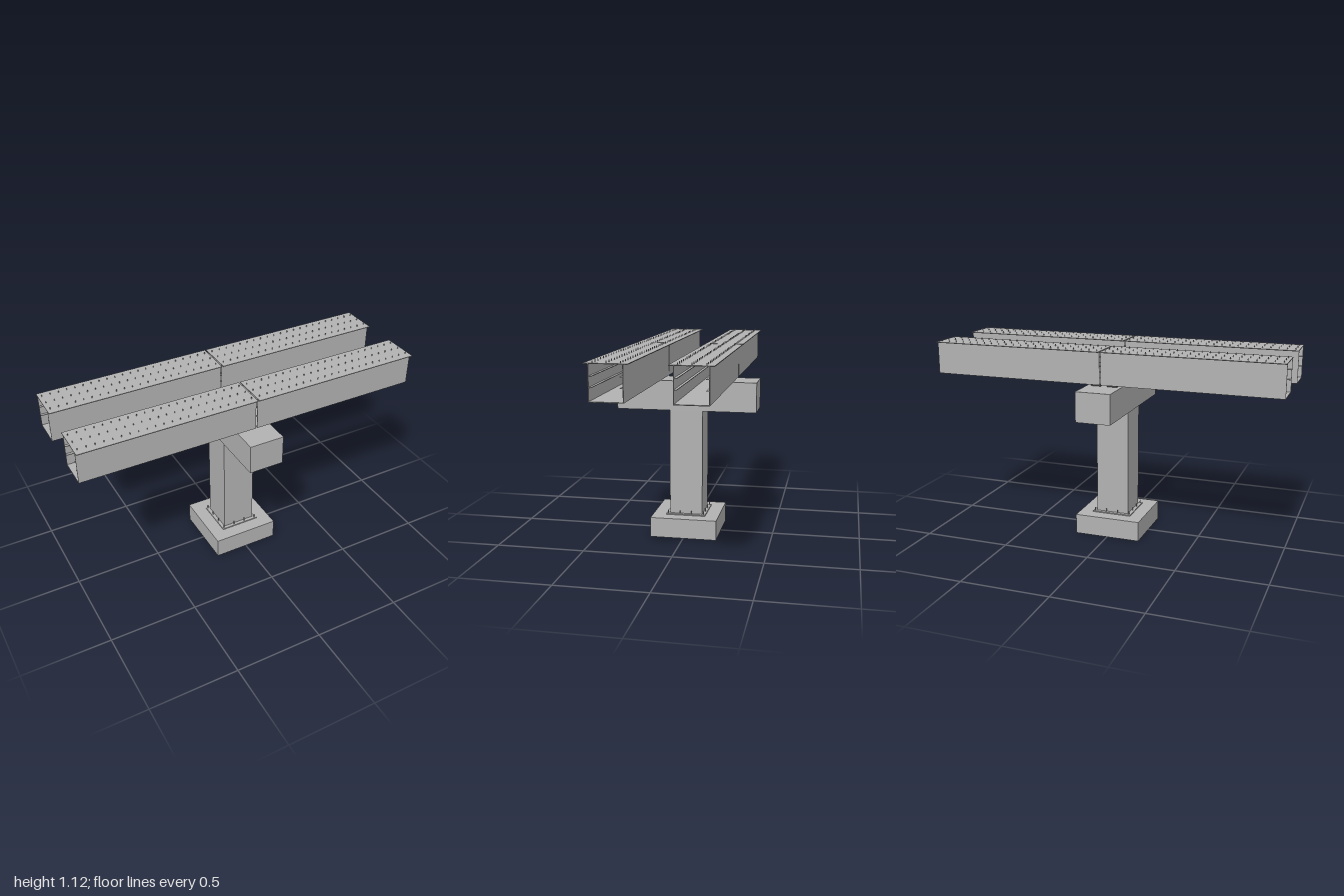
import * as THREE from 'three';
import { mergeGeometries } from 'three/addons/utils/BufferGeometryUtils.js';

const concrete = new THREE.MeshStandardMaterial({ color: 0xb2b2b2 });
concrete.name = 'concrete and steel grey';
const rubber = new THREE.MeshStandardMaterial({ color: 0x404040 });
rubber.name = 'bearing dark grey';

// Box given by its extents: [x0, x1], [y0, y1], [z0, z1]
function box(name, [x0, x1], [y0, y1], [z0, z1], material = concrete) {
  const mesh = new THREE.Mesh(new THREE.BoxGeometry(x1 - x0, y1 - y0, z1 - z0), material);
  mesh.position.set((x0 + x1) / 2, (y0 + y1) / 2, (z0 + z1) / 2);
  mesh.name = name;
  return mesh;
}

// Many small upright pins merged into one mesh
function pins(name, points, radius, y0, y1) {
  const parts = points.map(([x, z]) =>
    new THREE.CylinderGeometry(radius, radius, y1 - y0, 8).translate(x, (y0 + y1) / 2, z));
  const mesh = new THREE.Mesh(mergeGeometries(parts), concrete);
  mesh.name = name;
  return mesh;
}

// One open-ended box girder span, from x0 to x1, centred on z = 0
function girder(x0, x1) {
  const g = new THREE.Group();
  g.name = 'boxGirder';
  const x = [x0, x1], half = 0.085, wall = 0.003;
  g.add(box('bottomFlange', x, [0.922, 0.926], [-half, half]));
  g.add(box('topFlange', x, [1.103, 1.107], [-0.107, 0.107]));
  for (const s of [-1, 1]) {
    const span = (a, b) => [Math.min(s * a, s * b), Math.max(s * a, s * b)];
    g.add(box('web', x, [0.926, 1.103], span(half - wall, half)));
    // Longitudinal stiffeners on the inner face of the web
    for (const y of [0.992, 1.045]) {
      g.add(box('webStiffener', x, [y - 0.0015, y + 0.0015], span(half - 0.017, half - wall)));
    }
  }
  // Three rows of shear studs
  const studs = [];
  for (let i = 0; i < 22; i++) {
    for (const z of [-0.068, 0, 0.068]) {
      studs.push([x0 + 0.02 + (i / 21) * (x1 - x0 - 0.04), z]);
    }
  }
  g.add(pins('shearStuds', studs, 0.0022, 1.107, 1.117));
  return g;
}

export function createModel() {
  const model = new THREE.Group();
  model.name = 'bridgePier';

  // Pier
  model.add(box('footing', [-0.192, 0.192], [0, 0.115], [-0.192, 0.192]));
  model.add(box('basePlate', [-0.115, 0.115], [0.115, 0.121], [-0.115, 0.115]));
  model.add(box('column', [-0.095, 0.095], [0.121, 0.733], [-0.095, 0.095]));
  model.add(box('pierCap', [-0.1, 0.1], [0.733, 0.903], [-0.402, 0.402]));

  // Anchor bolts around the rim of the base plate
  const steps = [-0.105, -0.035, 0.035, 0.105];
  const rim = [];
  for (const x of steps) {
    for (const z of steps) {
      if (Math.max(Math.abs(x), Math.abs(z)) > 0.1) rim.push([x, z]);
    }
  }
  model.add(pins('anchorBolts', rim, 0.003, 0.115, 0.14));

  // Bearings and two lines of girders, split by a joint over the pier
  for (const z of [-0.202, 0.202]) {
    for (const s of [-1, 1]) {
      model.add(box('bearing', [s * 0.047 - 0.028, s * 0.047 + 0.028], [0.903, 0.922], [z - 0.028, z + 0.028], rubber));
      const span = s < 0 ? girder(-1, -0.004) : girder(0.004, 1);
      span.position.z = z;
      model.add(span);
    }
  }
  return model;
}
